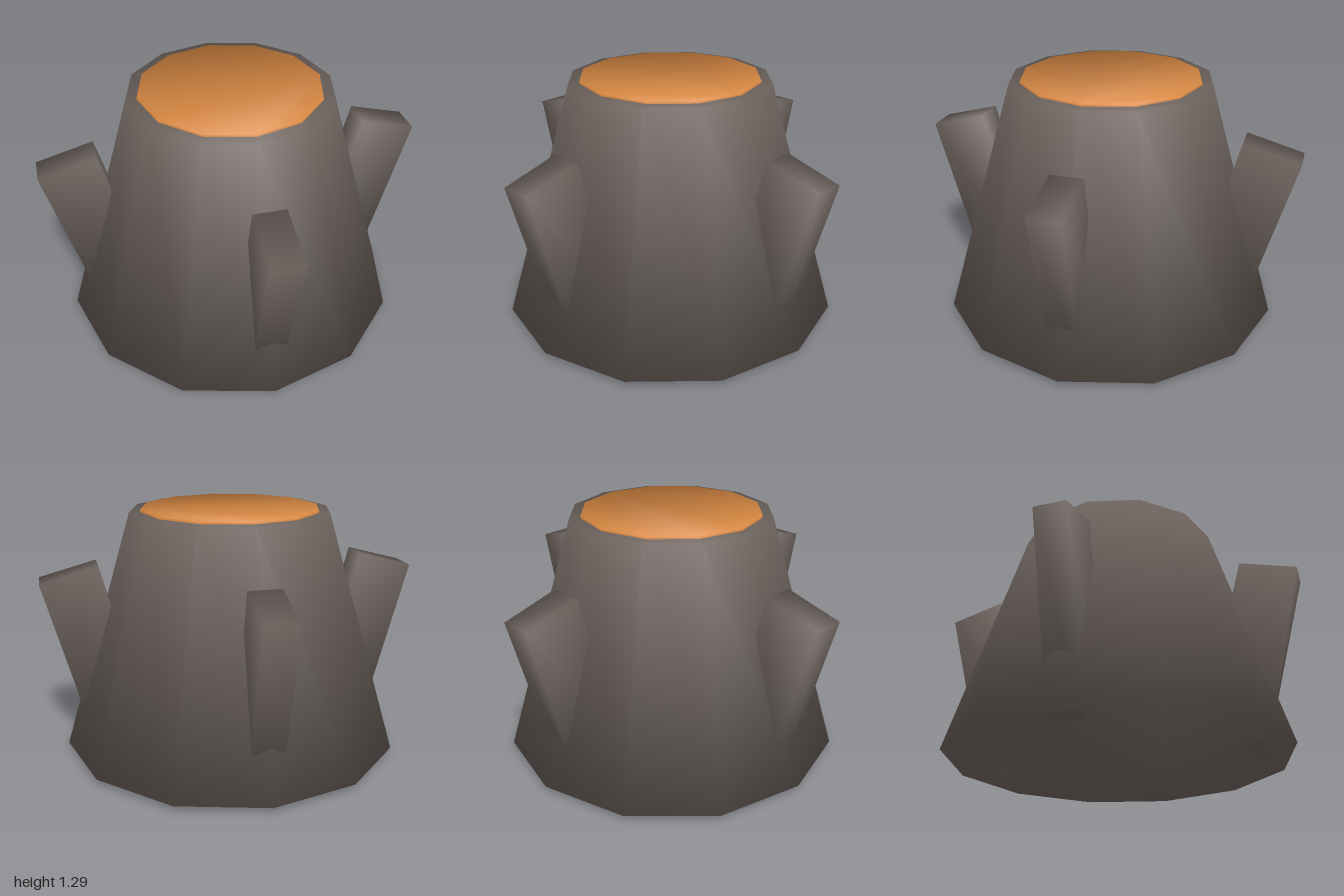
import * as THREE from 'three';

const rock = new THREE.MeshStandardMaterial({ color: 0x6b615c });
rock.name = 'rock';
const lava = new THREE.MeshStandardMaterial({ color: 0xdb8b44 });
lava.name = 'lava';

// Regular outline of n points in the xz plane
function circle(r, n = 12) {
  return Array.from({ length: n }, (_, i) => {
    const a = (i / n) * Math.PI * 2;
    return [r * Math.cos(a), r * Math.sin(a)];
  });
}

// Closed solid between two outlines, with corners shared so that the shading
// rolls smoothly over every edge (normals weighted by corner angle)
function solid(lower, upper, y0, y1) {
  const n = lower.length;
  const points = [
    ...lower.map(([x, z]) => new THREE.Vector3(x, y0, z)),
    ...upper.map(([x, z]) => new THREE.Vector3(x, y1, z)),
  ];
  const faces = [];
  for (let i = 0; i < n; i++) {
    const j = (i + 1) % n;
    faces.push([i, n + i, n + j], [i, n + j, j]);
    if (i > 0 && i < n - 1) faces.push([0, i, j], [n, n + j, n + i]);
  }
  const normals = points.map(() => new THREE.Vector3());
  for (const face of faces) {
    const [a, b, c] = face.map((k) => points[k]);
    const normal = new THREE.Triangle(a, b, c).getNormal(new THREE.Vector3());
    face.forEach((k, m) => {
      const u = points[face[(m + 1) % 3]].clone().sub(points[k]);
      const v = points[face[(m + 2) % 3]].clone().sub(points[k]);
      normals[k].addScaledVector(normal, u.angleTo(v));
    });
  }
  const geometry = new THREE.BufferGeometry().setFromPoints(points);
  const flat = normals.flatMap((v) => v.normalize().toArray());
  geometry.setAttribute('normal', new THREE.Float32BufferAttribute(flat, 3));
  geometry.setIndex(faces.flat());
  return geometry;
}

function part(name, geometry, material) {
  const mesh = new THREE.Mesh(geometry, material);
  mesh.name = name;
  return mesh;
}

export function createModel() {
  const model = new THREE.Group();
  model.name = 'ventCone';

  // Tapered twelve-sided cone and the glowing disc in its mouth
  model.add(part('cone', solid(circle(0.905), circle(0.53), 0.03, 1.28), rock));
  model.add(part('glowingMouth', solid(circle(0.472), circle(0.472), 1.25, 1.293), lava));

  // Four slabs leaning outward through the walls
  const w = 0.153, d = 0.083;
  const outline = [[w, d], [-w, d], [-w, -d], [w, -d]];
  const slab = solid(outline, outline, -0.49, 0.49);
  ['left', 'back', 'right', 'front'].forEach((side, i) => {
    const fin = new THREE.Group();
    fin.name = side + 'Fin';
    const mesh = part(side + 'Slab', slab, rock);
    mesh.position.set(0.725, 0.513, 0);
    mesh.rotation.z = THREE.MathUtils.degToRad(-15);
    fin.add(mesh);
    fin.rotation.y = (i * Math.PI) / 2;
    model.add(fin);
  });

  return model;
}
